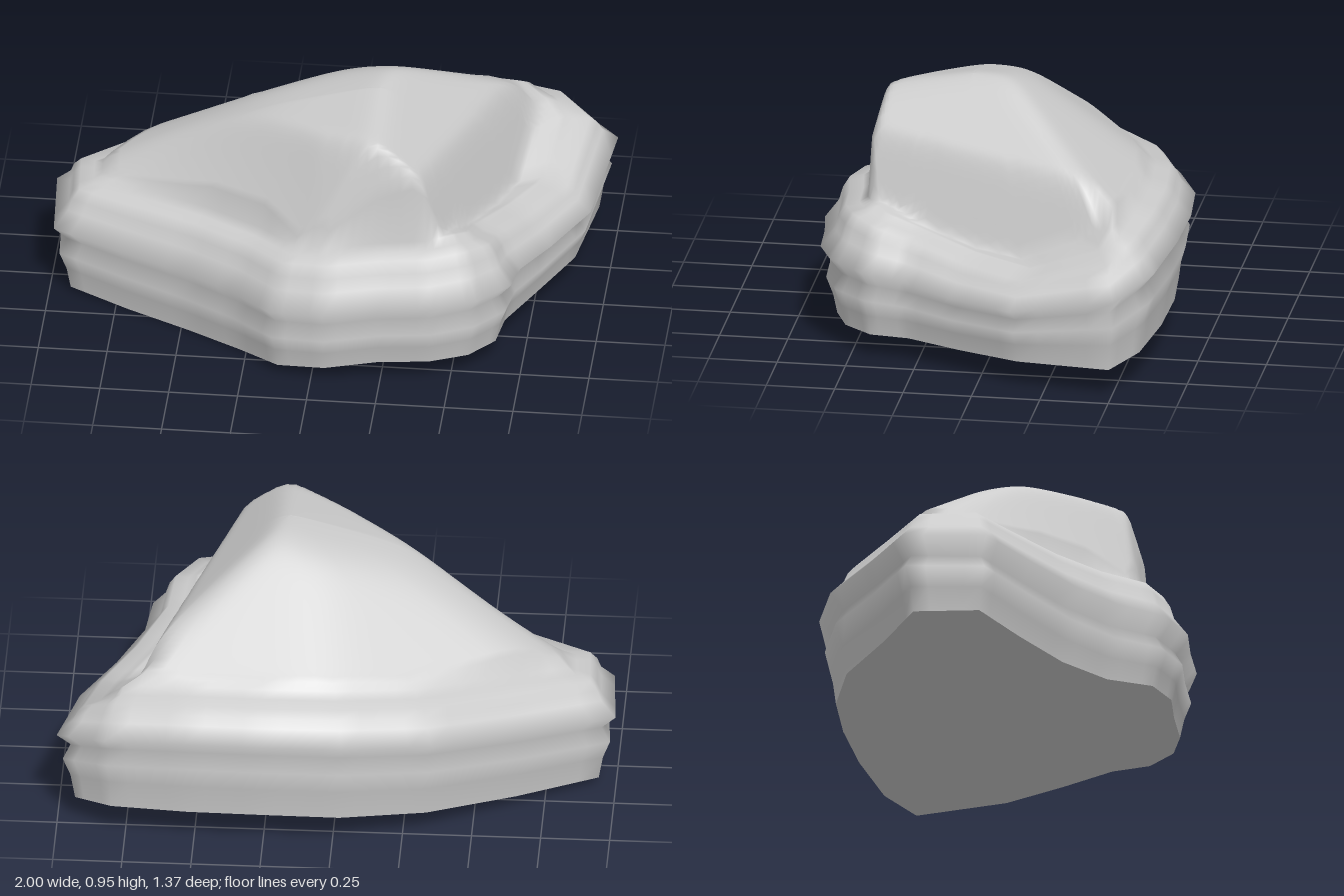
import * as THREE from 'three';

// Outline of the slab, clockwise from above: x, z, bottom height, rim height
const OUTLINE = [
  [-1, -0.16, 0.03, 0.43], [-0.68, -0.355, 0.05, 0.47], [-0.36, -0.55, 0.09, 0.52],
  [-0.04, -0.655, 0.12, 0.56], [0.25, -0.685, 0.14, 0.575], [0.53, -0.68, 0.14, 0.575],
  [0.82, -0.64, 0.13, 0.55], [1, -0.52, 0.105, 0.49], [0.94, -0.13, 0.1, 0.4],
  [0.82, 0.11, 0.09, 0.41], [0.73, 0.3, 0.09, 0.45], [0.71, 0.45, 0.09, 0.49],
  [0.6, 0.58, 0.09, 0.51], [0.44, 0.64, 0.085, 0.5], [0.25, 0.655, 0.08, 0.49],
  [0.05, 0.685, 0.06, 0.475], [-0.15, 0.645, 0.04, 0.46], [-0.31, 0.5, 0.01, 0.45],
  [-0.5, 0.38, 0, 0.44], [-0.73, 0.27, 0.005, 0.43], [-0.98, 0.15, 0.02, 0.425],
];

// Grooved side: [inset, fraction of the height]
const SIDE = [
  [0.06, 0], [0.045, 0.22], [0.02, 0.4], [0.05, 0.53], [0, 0.68],
  [0.05, 0.82], [0.065, 0.92], [0.09, 1], [0.14, 1.02], [0.17, 1.07],
];
const STEPS = 4;          // subdivisions per outline edge
const MOUND_RINGS = 32;
const CENTRE = [0.2, 0.12];

const softMin = (values, k) => -k * Math.log(values.reduce((s, v) => s + Math.exp(-v / k), 0));

// Mound height: several sloping faces blended together
function moundHeight(x, z) {
  const frontLeftSlope = THREE.MathUtils.clamp(2.2 + 1.3 * x, 1.2, 2.2);
  return softMin([
    0.965 + 0.27 * (x - 0.22) - 0.17 * Math.max(0, z - 0.12),         // crown
    0.945 - 0.78 * (x - 0.27) - 0.17 * z,                             // right shoulder
    0.48 + 3.2 * (0.61 - x - 0.3 * z),                                // steep right face
    0.57 + 5 * (0.5 - z),                                             // front face
    0.5 + frontLeftSlope * (0.55 * (x + 0.65) + 0.835 * (0.1 - z)),   // front left face
    0.525 + 0.63 * (x + 0.75),                                        // left slope
    0.615 + 0.74 * (z + 0.5),                                         // back slope
    0.5 + 0.8 * (0.52 * (x + 0.65) + 0.85 * (z + 0.25)),              // back left slope
  ], 0.024);
}

// Outline moved inward by a distance, then subdivided: [x, z, bottom, rim]
function insetOutline(d) {
  const n = OUTLINE.length;
  const normal = (a, b) => new THREE.Vector2(a[1] - b[1], b[0] - a[0]).normalize();
  const corners = OUTLINE.map((p, i) => {
    const n1 = normal(OUTLINE[(i + n - 1) % n], p);
    const n2 = normal(p, OUTLINE[(i + 1) % n]);
    const k = d / (1 + n1.dot(n2));
    return [p[0] + (n1.x + n2.x) * k, p[1] + (n1.y + n2.y) * k, p[2], p[3]];
  });
  const ring = [];
  corners.forEach((a, i) => {
    const b = corners[(i + 1) % n];
    for (let s = 0; s < STEPS; s++) ring.push(a.map((v, j) => v + (b[j] - v) * s / STEPS));
  });
  return ring;
}

// Joins closed rings of [x, y, z] from the bottom up
function loft(rings) {
  const n = rings[0].length, index = [];
  for (let r = 0; r < rings.length - 1; r++) {
    for (let i = 0; i < n; i++) {
      const a = r * n + i, b = r * n + (i + 1) % n, c = a + n, d = b + n;
      index.push(a, c, b, b, c, d);
    }
  }
  const geometry = new THREE.BufferGeometry();
  geometry.setAttribute('position', new THREE.Float32BufferAttribute(rings.flat(2), 3));
  geometry.setIndex(index);
  geometry.computeVertexNormals();
  return geometry;
}

export function createModel() {
  const group = new THREE.Group();
  group.name = 'rock';
  const material = new THREE.MeshStandardMaterial({ color: 0xcccccc });
  const add = (name, geometry) => {
    const mesh = new THREE.Mesh(geometry, material);
    mesh.name = name;
    group.add(mesh);
  };

  // Grooved side and rim ledge; the grooves climb a little towards the back
  const rings = SIDE.map(([inset, f]) => insetOutline(inset).map(([x, z, lo, hi]) => {
    const climb = -0.45 * z * Math.max(0, f * (1 - f));
    return [x, lo + (hi - lo) * (f + climb), z];
  }));
  const underside = [rings[0].map(() => [0.05, 0.07, 0]), rings[0]];

  // Mound closing in on its crown
  const ledge = rings[rings.length - 1];
  for (let r = 1; r <= MOUND_RINGS; r++) {
    const t = 1 - r / MOUND_RINGS;
    rings.push(ledge.map(([x, y, z]) => {
      const px = CENTRE[0] + (x - CENTRE[0]) * t, pz = CENTRE[1] + (z - CENTRE[1]) * t;
      return [px, -softMin([-y, -moundHeight(px, pz)], 0.008), pz];
    }));
  }
  add('layeredBody', loft(rings));
  add('underside', loft(underside));
  return group;
}
